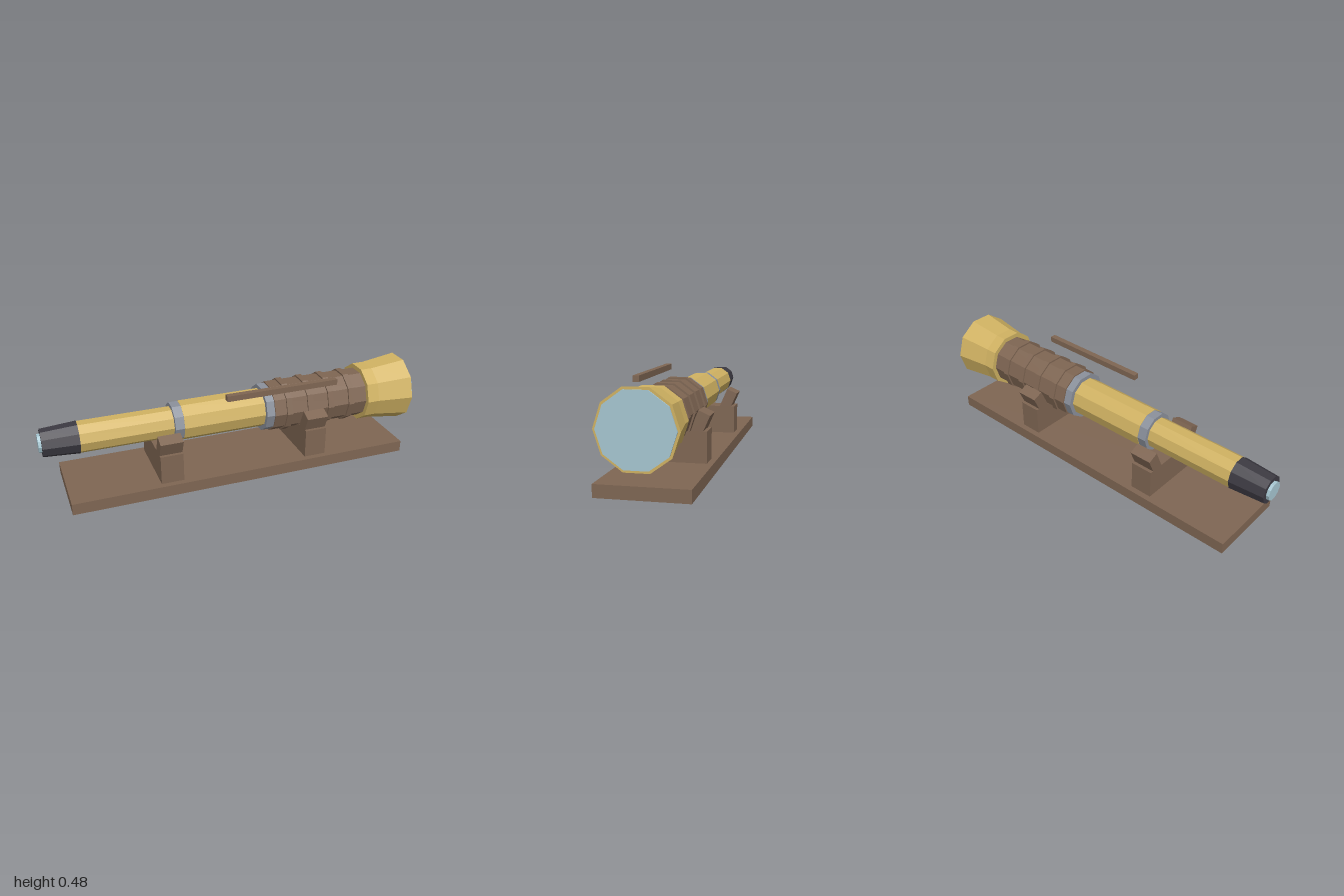
import * as THREE from 'three';

const AXIS_Y = 0.306;

function mat(name, color) {
  const m = new THREE.MeshStandardMaterial({ color, flatShading: true });
  m.name = name;
  return m;
}

export function createModel() {
  const wood = mat('brown wood', 0x7f6653);
  const brass = mat('brass', 0xd0b262);
  const steel = mat('grey steel', 0x8b919c);
  const black = mat('black rubber', 0x3c3a42);
  const glass = mat('pale blue glass', 0xa6c6d1);

  const model = new THREE.Group();
  model.name = 'telescopeOnStand';

  function add(name, geometry, material, x, y, z, parent = model) {
    const mesh = new THREE.Mesh(geometry, material);
    mesh.name = name;
    mesh.position.set(x, y, z);
    parent.add(mesh);
    return mesh;
  }
  const box = (name, w, h, d, x, y, z, parent) =>
    add(name, new THREE.BoxGeometry(w, h, d), wood, x, y, z, parent);

  // Ten-sided section of the tube from x0 to x1
  const telescope = new THREE.Group();
  telescope.name = 'telescope';
  telescope.position.y = AXIS_Y;
  model.add(telescope);
  function section(name, material, x0, x1, r0, r1 = r0) {
    const g = new THREE.CylinderGeometry(r1, r0, x1 - x0, 10);
    g.rotateZ(-Math.PI / 2);
    return add(name, g, material, (x0 + x1) / 2, 0, 0, telescope);
  }

  // Eyepiece and draw tubes
  section('eyeLens', glass, -1.0, -0.97, 0.048);
  section('eyepiece', black, -0.985, -0.805, 0.071, 0.083);
  section('smallTube', brass, -0.805, -0.32, 0.081);
  section('smallRing', steel, -0.332, -0.284, 0.101);
  section('middleTube', brass, -0.284, 0.17, 0.103);
  section('largeRing', steel, 0.156, 0.2, 0.126);

  // Wrapped grip with raised bands
  section('grip', wood, 0.2, 0.74, 0.133);
  for (const x of [0.28, 0.4, 0.52, 0.642]) {
    section('gripBand', wood, x - 0.016, x + 0.016, 0.142);
  }

  // Flared front end and main lens
  section('bellCollar', brass, 0.735, 0.8, 0.157);
  section('bell', brass, 0.8, 0.992, 0.157, 0.183);
  section('frontLens', glass, 0.98, 1.0, 0.171);

  // Sighting rod beside the tube
  box('sightRod', 0.61, 0.03, 0.03, 0.23, 0.458, 0.138);

  // Stand: base plank and two cradles with splayed arms
  box('base', 1.825, 0.06, 0.427, 0.018, 0.03, 0);
  for (const x of [-0.38, 0.413]) {
    const cradle = new THREE.Group();
    cradle.name = 'cradle';
    cradle.position.x = x;
    model.add(cradle);
    box('cradleBlock', 0.118, 0.155, 0.366, 0, 0.1355, 0, cradle);
    for (const s of [-1, 1]) {
      const arm = box('cradleArm', 0.118, 0.12, 0.06, 0, 0.244, s * 0.146, cradle);
      arm.rotation.x = s * 0.41;
    }
  }
  return model;
}
